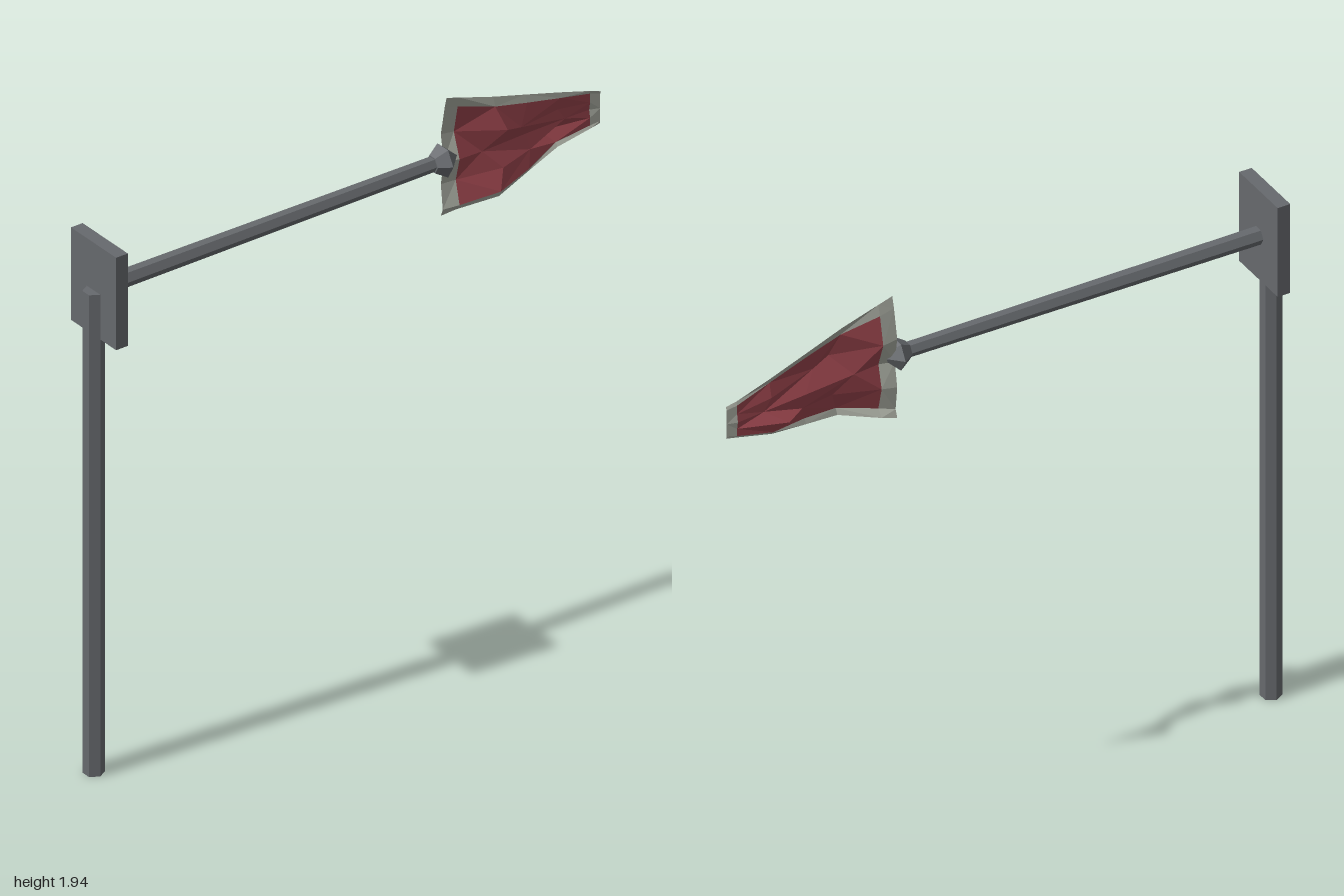
import * as THREE from 'three';

const mat = (color, side = THREE.FrontSide) =>
  new THREE.MeshStandardMaterial({ color, side, flatShading: true });

export function createModel() {
  const group = new THREE.Group();
  const iron = mat(0x66696d);
  const red = mat(0x95424a, THREE.DoubleSide);
  const pale = mat(0xa3a69c, THREE.DoubleSide);
  const add = (name, geometry, material, x, y, z = 0) => {
    const mesh = new THREE.Mesh(geometry, material);
    mesh.name = name;
    mesh.position.set(x, y, z);
    group.add(mesh);
    return mesh;
  };

  // Hexagonal upright and the plate that carries the arm
  add('post', new THREE.CylinderGeometry(0.035, 0.035, 1.72, 6), iron, -0.97, 0.86);
  add('mountingPlate', new THREE.BoxGeometry(0.045, 0.33, 0.235), iron, -0.9475, 1.725);

  // Horizontal arm, slightly tapered
  const arm = new THREE.CylinderGeometry(0.025, 0.03, 1.28, 6);
  add('arm', arm.rotateZ(-Math.PI / 2), iron, -0.29, 1.722);

  // Faceted pointed tip at the end of the arm
  const profile = [[0, 0.335], [0.03, 0.335], [0.056, 0.375], [0, 0.43]]
    .map(([r, x]) => new THREE.Vector2(r, x));
  add('armTip', new THREE.LatheGeometry(profile, 6).rotateZ(-Math.PI / 2), iron, 0, 1.722);

  // Crumpled cloth: depth of each column, listed from top to bottom
  const rows = [0, 0.09, 0.33, 0.54, 0.74, 0.94, 1];
  const columns = [
    [0.39, [0, -0.01, -0.03, -0.015, -0.03, -0.02, -0.03]],
    [0.44, [0, -0.01, -0.03, 0, -0.02, 0, -0.02]],
    [0.57, [0, 0.01, 0.036, -0.005, 0.02, 0.04, 0.03]],
    [0.70, [-0.01, 0, 0.02, -0.02, -0.01, 0.01, 0]],
    [0.84, [-0.02, -0.015, -0.03, -0.03, -0.07, -0.04, -0.03]],
    [0.965, [-0.025, -0.03, -0.03, -0.035, -0.03, -0.03, -0.025]],
    [1.0, [-0.02, -0.025, -0.025, -0.025, -0.025, -0.025, -0.025]],
  ];
  const point = (i, j) => {
    const [x, depths] = columns[i];
    const s = (x - 0.39) / 0.61;
    const top = 1.94 - 0.195 * s, bottom = 1.505 + 0.125 * s;
    // Stagger the inner folds so the facets run diagonally
    const inner = i > 1 && i < 5 && j > 1 && j < 5;
    const shift = inner ? 0.04 * Math.sin(i * 2 + j * 2.3) : 0;
    return [x + shift, top + (bottom - top) * rows[j], depths[j]];
  };
  const cloth = [], border = [];
  const last = columns.length - 2, lastRow = rows.length - 2;
  for (let i = 0; i <= last; i++) {
    for (let j = 0; j <= lastRow; j++) {
      const a = point(i, j), b = point(i, j + 1), c = point(i + 1, j + 1), d = point(i + 1, j);
      const edge = i === 0 || i === last || j === 0 || j === lastRow;
      const tris = (i + j) % 2 ? [a, b, c, a, c, d] : [a, b, d, b, c, d];
      (edge ? border : cloth).push(...tris.flat());
    }
  }
  const sheet = (name, positions, material) => {
    const g = new THREE.BufferGeometry();
    g.setAttribute('position', new THREE.Float32BufferAttribute(positions, 3));
    g.computeVertexNormals();
    add(name, g, material, 0, 0);
  };
  sheet('flagCloth', cloth, red);
  sheet('flagBorder', border, pale);
  return group;
}
